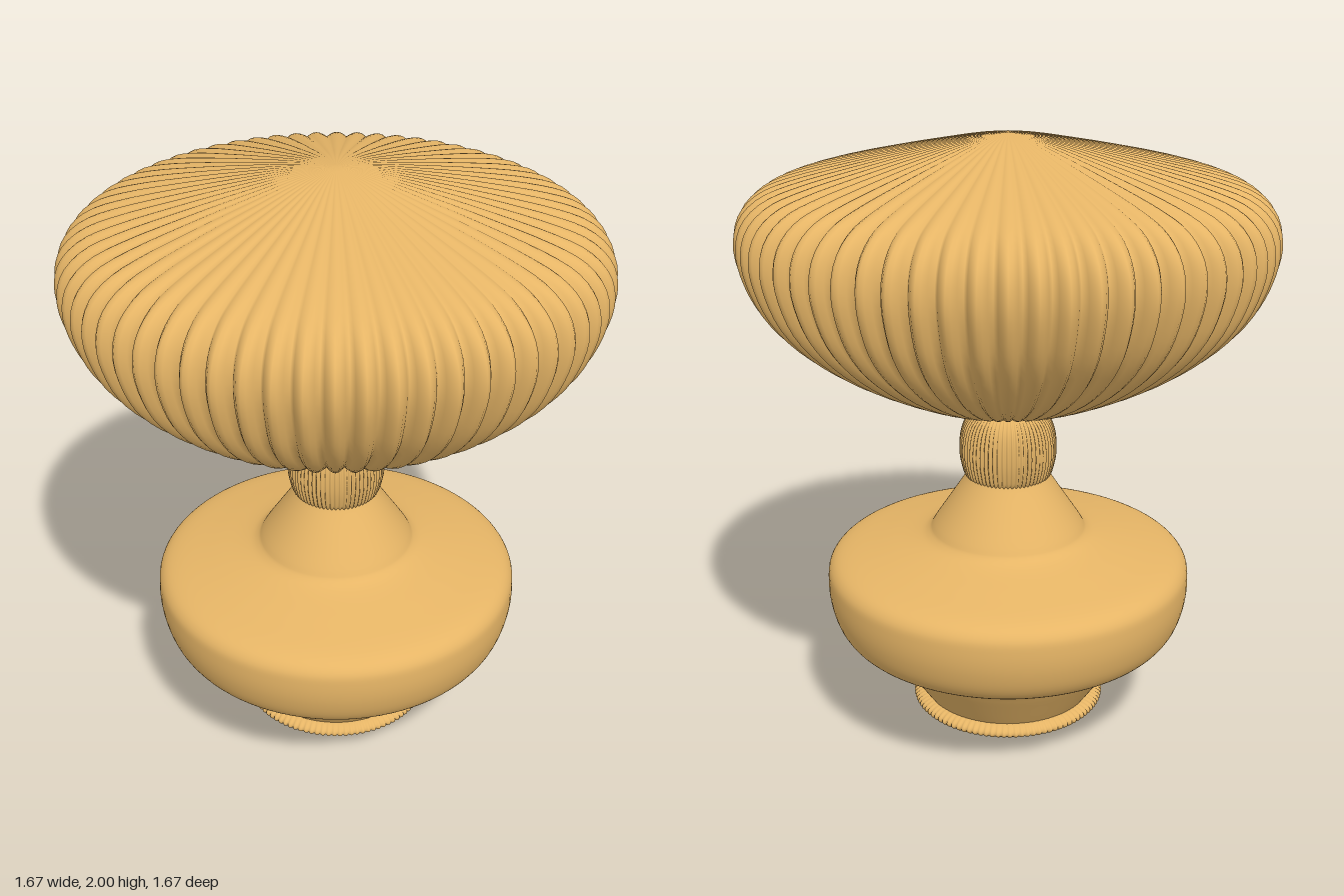
import * as THREE from 'three';
import { mergeVertices } from 'three/addons/utils/BufferGeometryUtils.js';

const brass = new THREE.MeshStandardMaterial({ color: 0xe6b566 });

// Smooth curve through [radius, height] pairs, listed from bottom to top
function profile(pairs, steps) {
  const curve = new THREE.SplineCurve(pairs.map(([r, y]) => new THREE.Vector2(r, y)));
  return curve.getPoints(steps).map((p) => new THREE.Vector2(Math.max(p.x, 0), p.y));
}

// Lathe whose radius is scalloped into rounded lobes with sharp valleys
function flutedLathe(points, lobes, depth, perLobe) {
  let geo = new THREE.LatheGeometry(points, lobes * perLobe);
  const pos = geo.attributes.position;
  for (let i = 0; i < pos.count; i++) {
    const x = pos.getX(i), z = pos.getZ(i);
    const lobe = Math.abs(Math.cos((Math.atan2(x, z) * lobes) / 2));
    const s = 1 - depth * (1 - lobe);
    pos.setX(i, x * s);
    pos.setZ(i, z * s);
  }
  geo.deleteAttribute('uv');
  geo.deleteAttribute('normal');
  geo = mergeVertices(geo, 1e-5);
  geo.computeVertexNormals();
  return geo;
}

export function createModel() {
  const group = new THREE.Group();
  const add = (name, geo) => {
    const mesh = new THREE.Mesh(geo, brass);
    mesh.name = name;
    group.add(mesh);
  };

  // Turned body with a wide shoulder and conical neck
  const foot = [new THREE.Vector2(0, 0), new THREE.Vector2(0.14, 0)];
  const body = profile([
    [0.15, 0.002], [0.19, 0.015], [0.22, 0.045], [0.25, 0.08], [0.28, 0.12], [0.36, 0.24],
    [0.395, 0.29], [0.45, 0.33], [0.53, 0.365], [0.57, 0.41], [0.592, 0.48], [0.597, 0.55],
    [0.587, 0.6], [0.54, 0.632], [0.42, 0.66], [0.31, 0.684], [0.262, 0.705], [0.235, 0.745],
    [0.14, 0.89], [0.13, 0.92],
  ], 90);
  add('body', new THREE.LatheGeometry([...foot, ...body], 96));

  // Milled ring around the foot
  add('footRing', flutedLathe(profile([
    [0.22, 0.08], [0.29, 0.082], [0.315, 0.092], [0.322, 0.102], [0.315, 0.114],
    [0.29, 0.125], [0.25, 0.125],
  ], 14), 100, 0.025, 4));

  // Finely ribbed collar under the knob
  add('collar', flutedLathe(profile([
    [0.1, 0.895], [0.136, 0.897], [0.15, 0.93], [0.158, 0.98], [0.154, 1.04],
    [0.138, 1.085], [0.105, 1.115], [0.06, 1.128], [0, 1.13],
  ], 24), 64, 0.06, 4));

  // Large fluted knob with a shallow pointed crown
  add('knob', flutedLathe(profile([
    [0, 1.12], [0.1, 1.13], [0.2, 1.155], [0.34, 1.2], [0.54, 1.3], [0.68, 1.4],
    [0.77, 1.5], [0.817, 1.6], [0.833, 1.69], [0.812, 1.77], [0.75, 1.83],
    [0.65, 1.868], [0.48, 1.91], [0.3, 1.95], [0.13, 1.985], [0, 2],
  ], 44), 64, 0.06, 6));

  return group;
}
